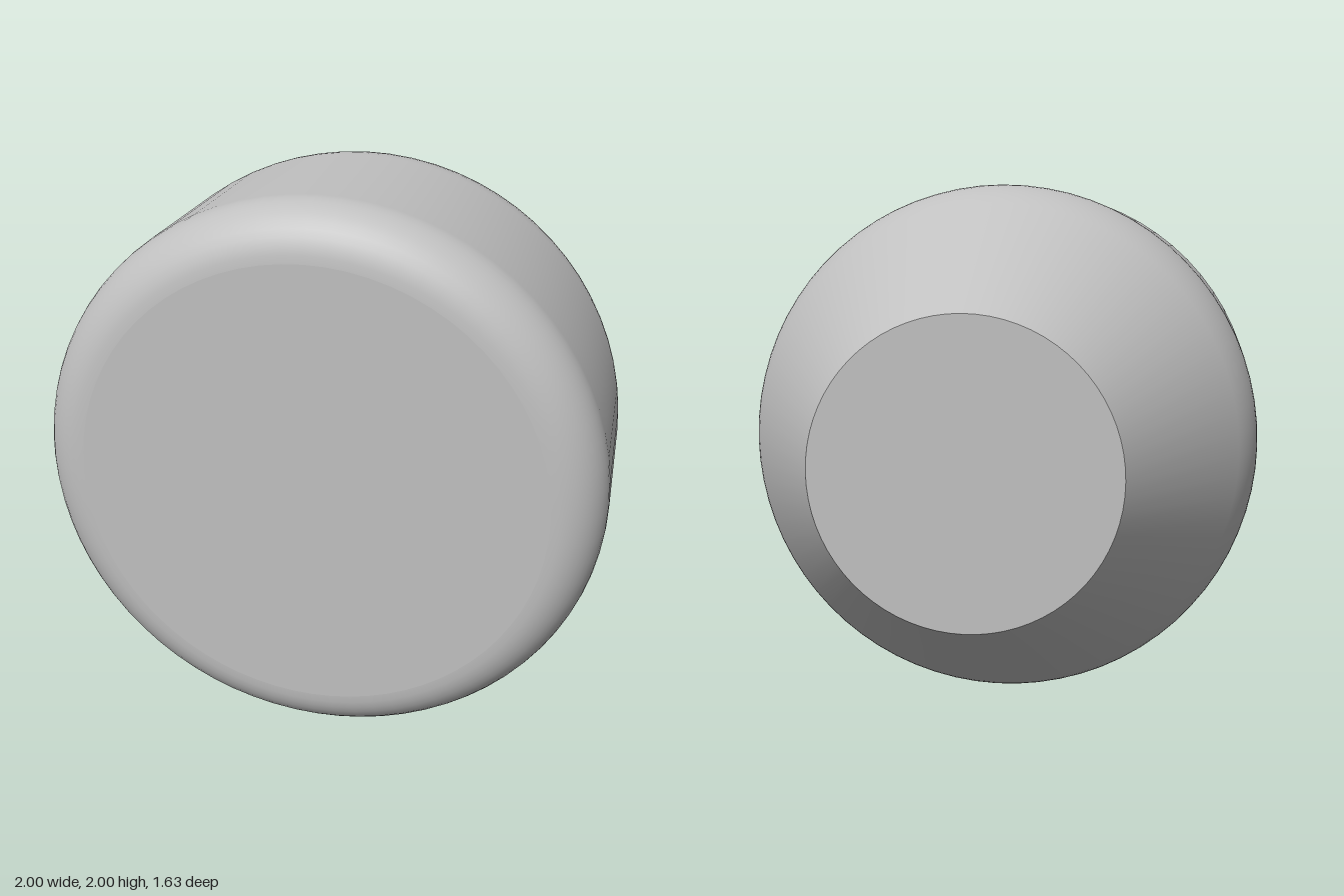
import * as THREE from 'three';

const SEGMENTS = 72;
const FRONT_Z = 0.815, BACK_Z = -0.815;
const BACK_RADIUS = 0.545;
const EDGE = 0.18; // rounding of the front rim
const SHOULDER = { radius: 0.48, z: 0.04, angle: THREE.MathUtils.degToRad(32.6) };

// Points on an arc of radius r around (cx, cy), from angle a to angle b
function arc(cx, cy, r, a, b, steps) {
  return Array.from({ length: steps + 1 }, (_, i) => {
    const t = a + ((b - a) * i) / steps;
    return new THREE.Vector2(cx + r * Math.cos(t), cy + r * Math.sin(t));
  });
}

export function createModel() {
  const group = new THREE.Group();
  group.name = 'taperedKnob';
  const grey = new THREE.MeshStandardMaterial({ color: 0xc0c0c0 });
  grey.name = 'light grey';

  const add = (name, geometry) => {
    const mesh = new THREE.Mesh(geometry, grey);
    mesh.name = name;
    mesh.position.y = 1;
    group.add(mesh);
    return mesh;
  };

  // Side wall: cone, soft shoulder, cylinder and rounded front rim
  const profile = [
    new THREE.Vector2(BACK_RADIUS, BACK_Z),
    ...arc(1 - SHOULDER.radius, SHOULDER.z, SHOULDER.radius, -SHOULDER.angle, 0, 8),
    ...arc(1 - EDGE, FRONT_Z - EDGE, EDGE, 0, Math.PI / 2, 10),
  ];
  add('body', new THREE.LatheGeometry(profile, SEGMENTS).rotateX(Math.PI / 2));

  // Flat end faces
  add('frontFace', new THREE.CircleGeometry(1 - EDGE, SEGMENTS)).position.z = FRONT_Z;
  add('backFace', new THREE.CircleGeometry(BACK_RADIUS, SEGMENTS).rotateY(Math.PI)).position.z = BACK_Z;

  return group;
}
